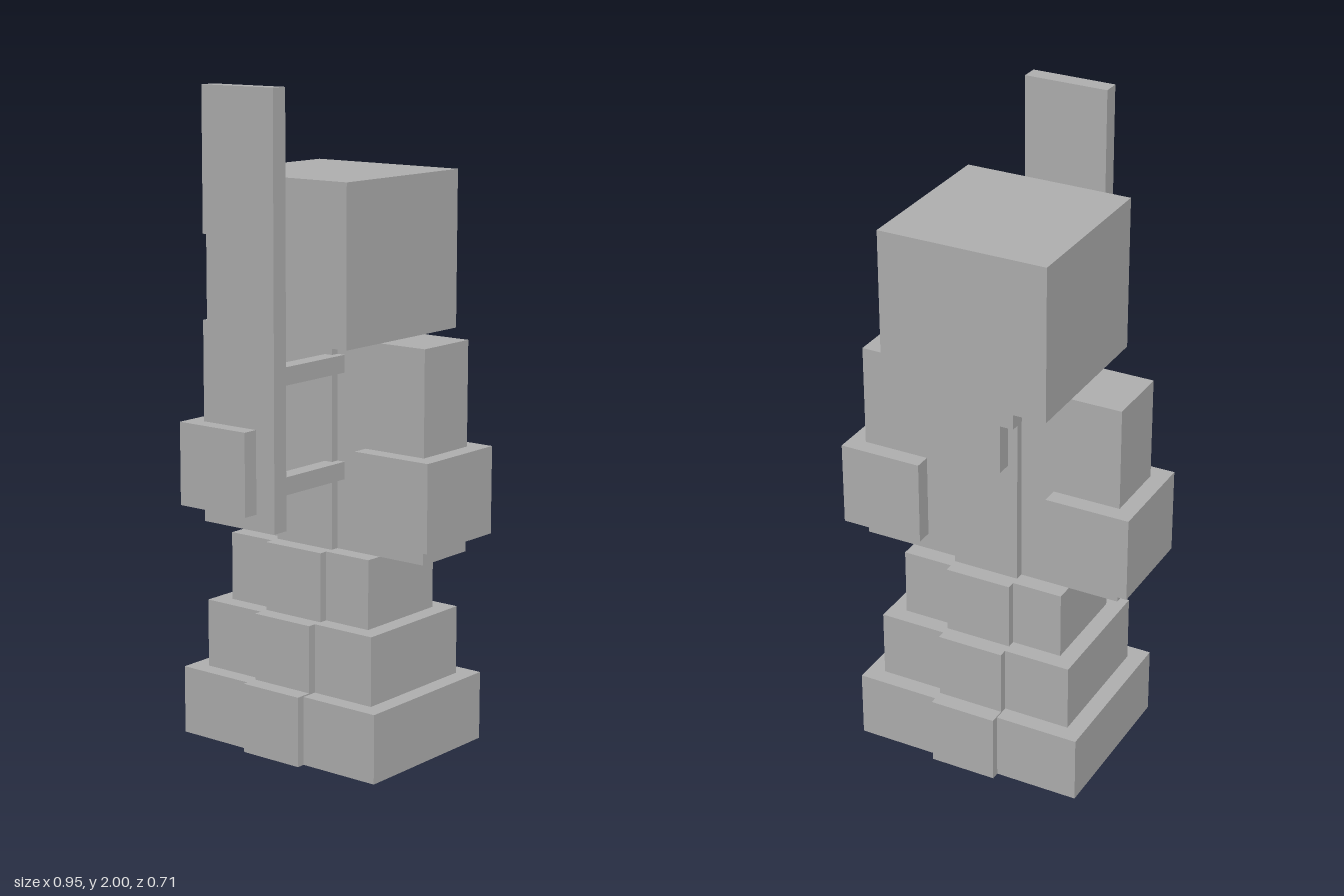
import * as THREE from 'three';

const U = 2 / 38; // one block unit

export function createModel() {
  const model = new THREE.Group();
  const stone = new THREE.MeshStandardMaterial({ color: 0xb0b0b0 });
  stone.name = 'stone grey';

  // Block from its limits, in block units
  function block(name, x0, x1, y0, y1, z0, z1) {
    const geo = new THREE.BoxGeometry((x1 - x0) * U, (y1 - y0) * U, (z1 - z0) * U);
    const mesh = new THREE.Mesh(geo, stone);
    mesh.position.set((x0 + x1) / 2 * U, (y0 + y1) / 2 * U, (z0 + z1) / 2 * U);
    mesh.name = name;
    model.add(mesh);
  }

  // Stepped robe and torso, each with a raised central band front and back
  const tiers = [
    // name, half width, bottom, top, half depth
    ['robeBottom', 7, 0, 4, 5],
    ['robeMiddle', 6, 4, 8, 4],
    ['robeTop', 5, 8, 12, 3],
    ['torso', 8, 12, 24, 2],
  ];
  const mid = -1.25; // body centre in z
  for (const [name, w, y0, y1, d] of tiers) {
    block(name, -w, w, y0, y1, mid - d, mid + d);
    const lip = name === 'robeBottom' ? 0.08 : 0;
    block(name + 'Band', -2, 2, y0, y1 + lip, mid - d - 0.5, mid + d + 0.5);
  }

  // Hands
  block('leftHand', 4, 9, 13, 18, mid - 3, mid + 3);
  block('rightHand', -9, -4, 13, 18, mid - 3, mid + 3);

  // Head, with a bar under its back edge and a clasp on the back
  block('head', -5, 5, 24, 33, mid - 5, mid + 5);
  block('headBar', -3, 3, 23.05, 24, -6.14, -5.14);
  block('backClasp', -1.5, 1.5, 19.3, 22.25, -4.83, -3.88);

  // Flag on a pole, held by two brackets
  block('pole', 1.5, 2.5, 14.05, 38, 5.8, 6.8);
  block('flag', -2.5, 1.5, 30, 38, 5.8, 6.8);
  block('lowerBracket', 1.5, 2.5, 16.05, 17.05, 0.7, 5.8);
  block('upperBracket', 1.5, 2.5, 22.1, 23.1, 0.7, 5.8);

  return model;
}
